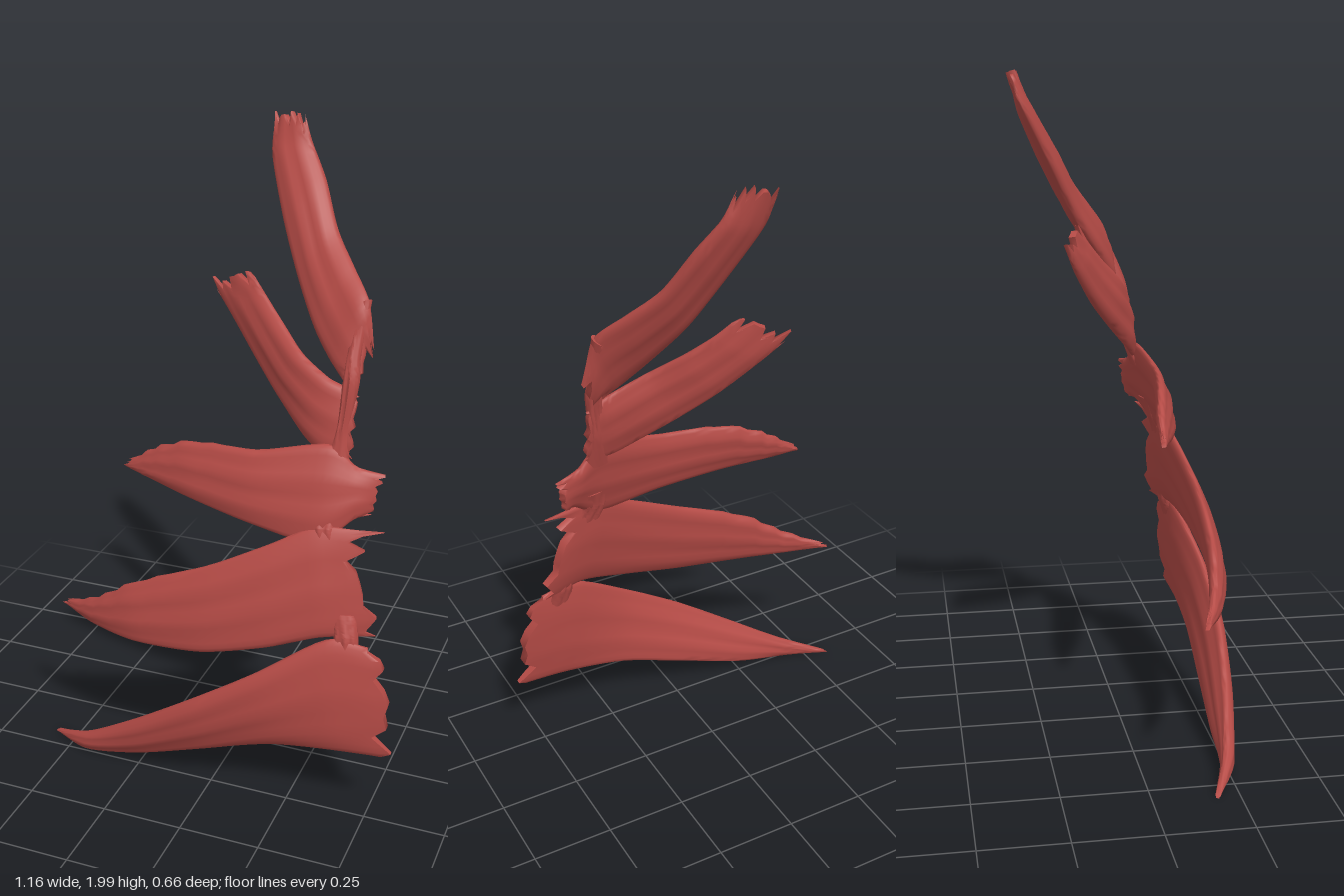
import * as THREE from 'three';
import { toCreasedNormals } from 'three/addons/utils/BufferGeometryUtils.js';

const COLS = 14, STEPS = 36;

// Repeatable uneven value in 0..1
const noise = (n) => {
  const s = Math.sin(n * 12.9898 + 4.1) * 43758.5453;
  return s - Math.floor(s);
};

// Fibrous sheet lofted between an upper and a lower edge.
// Each station: upper x,y,z, lower x,y,z, thickness.
function fibreSheet({ stations, tipJag = 0.03, rootJag = 0.03, steps = 0, bulge = 0.005, seed = 1 }) {
  const line = (k) => new THREE.CatmullRomCurve3(
    stations.map((s) => new THREE.Vector3(s[k], s[k + 1], s[k + 2])), false, 'catmullrom', 0.4);
  const upper = line(0), lower = line(3);
  const last = stations.length - 1, ring = 2 * COLS;
  const pos = [], idx = [];

  for (let i = 0; i <= STEPS; i++) {
    const u = i / STEPS;
    const a = upper.getPoint(u), b = lower.getPoint(u);
    const f = Math.min(u * last, last - 1e-6), k = Math.floor(f);
    const thick = THREE.MathUtils.lerp(stations[k][6], stations[k + 1][6], f - k);
    const tangent = upper.getTangent(u).add(lower.getTangent(u)).normalize();
    // Stepped upper edge where the fibres end one after another
    if (steps && u < 0.45) a.lerp(b, steps * ((u * 11) % 1) * (1 - u / 0.45));
    const across = b.clone().sub(a);
    const normal = across.clone().cross(tangent).normalize();
    const tip = Math.max(0, 1 - u / 0.1), root = Math.max(0, (u - 0.86) / 0.14);

    for (let j = 0; j < ring; j++) {
      const front = j <= COLS, c = front ? j : ring - j;
      const angle = (c / COLS) * Math.PI;
      const v = 0.5 - 0.5 * Math.cos(angle), round = Math.sin(angle);
      const groove = 0.004 * Math.sin(v * 17 + seed * 2 + u * 3) * round * Math.sin(u * Math.PI);
      const off = (front ? 1 : -1) * round * thick / 2 + groove + bulge * round * Math.sin(u * Math.PI);
      const shift = rootJag * root * (noise(c + seed * 31) - 0.45) - tipJag * tip * (noise(c + seed * 57) - 0.5);
      const p = a.clone().addScaledVector(across, v)
        .addScaledVector(normal, off).addScaledVector(tangent, shift);
      pos.push(p.x, p.y, p.z);
    }
  }
  const at = (i, j) => i * ring + (j % ring);
  for (let i = 0; i < STEPS; i++)
    for (let j = 0; j < ring; j++) {
      const p = at(i, j), q = at(i, j + 1), r = at(i + 1, j), s = at(i + 1, j + 1);
      idx.push(p, q, r, q, s, r);
    }
  // Ragged ends
  for (let j = 0; j < COLS; j++)
    for (const i of [0, STEPS]) {
      const p = at(i, j), q = at(i, ring - j), r = at(i, j + 1), s = at(i, ring - j - 1);
      if (i === 0) idx.push(p, q, r, r, q, s);
      else idx.push(p, r, q, r, s, q);
    }
  const geo = new THREE.BufferGeometry();
  geo.setAttribute('position', new THREE.Float32BufferAttribute(pos, 3));
  geo.setIndex(idx);
  return toCreasedNormals(geo, 1.3);
}

const PARTS = {
  firstSlip: { seed: 1, tipJag: 0.07, rootJag: 0.06, stations: [
    [0.10, 1.96, -0.28, -0.01, 1.97, -0.32, 0.02],
    [0.13, 1.90, -0.27, 0.00, 1.87, -0.27, 0.045],
    [0.18, 1.82, -0.23, 0.07, 1.70, -0.18, 0.06],
    [0.24, 1.70, -0.16, 0.14, 1.56, -0.11, 0.06],
    [0.31, 1.62, -0.09, 0.22, 1.44, -0.03, 0.06],
    [0.38, 1.54, -0.02, 0.29, 1.36, 0.02, 0.05],
    [0.40, 1.42, 0.00, 0.34, 1.32, 0.045, 0.025]] },
  secondSlip: { seed: 2, tipJag: 0.08, rootJag: 0.02, stations: [
    [0.00, 1.55, -0.12, -0.14, 1.48, -0.17, 0.02],
    [0.05, 1.50, -0.09, -0.08, 1.42, -0.14, 0.04],
    [0.12, 1.44, -0.04, 0.02, 1.32, -0.08, 0.05],
    [0.20, 1.38, 0.02, 0.12, 1.23, -0.01, 0.05],
    [0.29, 1.33, 0.05, 0.22, 1.15, 0.06, 0.05],
    [0.34, 1.31, 0.05, 0.29, 1.11, 0.09, 0.04],
    [0.37, 1.29, 0.05, 0.37, 1.11, 0.09, 0.025]] },
  thirdSlip: { seed: 3, steps: 0.2, bulge: 0, stations: [
    [-0.32, 0.99, 0.07, -0.35, 0.96, 0.07, 0.015],
    [-0.24, 1.05, 0.075, -0.24, 0.945, 0.10, 0.035],
    [-0.10, 1.10, 0.10, -0.10, 0.925, 0.14, 0.045],
    [0.10, 1.11, 0.125, 0.10, 0.895, 0.175, 0.045],
    [0.31, 1.15, 0.10, 0.30, 0.87, 0.18, 0.045],
    [0.39, 1.09, 0.09, 0.40, 0.94, 0.13, 0.04],
    [0.46, 1.07, 0.08, 0.44, 0.95, 0.10, 0.025]] },
  fourthSlip: { seed: 4, steps: 0.2, bulge: 0, rootJag: 0.12, stations: [
    [-0.51, 0.51, 0.165, -0.53, 0.49, 0.16, 0.015],
    [-0.38, 0.58, 0.21, -0.41, 0.475, 0.215, 0.035],
    [-0.24, 0.67, 0.23, -0.24, 0.473, 0.265, 0.05],
    [-0.02, 0.76, 0.235, -0.02, 0.495, 0.285, 0.05],
    [0.16, 0.85, 0.21, 0.18, 0.545, 0.27, 0.05],
    [0.30, 0.92, 0.175, 0.34, 0.595, 0.235, 0.05],
    [0.43, 0.92, 0.15, 0.47, 0.60, 0.19, 0.03]] },
  // Lower edge tucked behind the upper one
  fifthSlip: { seed: 5, rootJag: 0.07, tipJag: 0.02, bulge: 0.01, stations: [
    [-0.56, 0.02, 0.19, -0.57, 0.01, 0.185, 0.015],
    [-0.42, 0.085, 0.245, -0.44, 0.01, 0.235, 0.04],
    [-0.24, 0.20, 0.285, -0.25, 0.05, 0.24, 0.055],
    [-0.04, 0.335, 0.305, -0.02, 0.13, 0.25, 0.06],
    [0.16, 0.465, 0.29, 0.20, 0.205, 0.26, 0.055],
    [0.36, 0.595, 0.24, 0.40, 0.235, 0.265, 0.055],
    [0.49, 0.59, 0.225, 0.56, 0.245, 0.26, 0.035]] },
  // Narrow bands joining the roots of neighbouring slips
  upperBand: { seed: 6, rootJag: 0, tipJag: 0, stations: [
    [0.385, 1.55, -0.02, 0.345, 1.52, -0.03, 0.03],
    [0.375, 1.40, 0.03, 0.335, 1.38, 0.03, 0.04],
    [0.38, 1.33, 0.05, 0.33, 1.31, 0.05, 0.045],
    [0.365, 1.20, 0.07, 0.32, 1.18, 0.075, 0.045],
    [0.37, 1.08, 0.10, 0.29, 1.08, 0.11, 0.03]] },
  middleBand: { seed: 7, rootJag: 0, tipJag: 0, stations: [
    [0.38, 0.97, 0.125, 0.28, 0.97, 0.145, 0.025],
    [0.36, 0.91, 0.155, 0.28, 0.91, 0.165, 0.04],
    [0.39, 0.84, 0.175, 0.29, 0.84, 0.185, 0.025]] },
  lowerBand: { seed: 8, rootJag: 0, tipJag: 0, stations: [
    [0.44, 0.67, 0.195, 0.37, 0.67, 0.215, 0.025],
    [0.45, 0.60, 0.21, 0.38, 0.60, 0.225, 0.04],
    [0.46, 0.53, 0.23, 0.38, 0.53, 0.245, 0.025]] },
};

export function createModel() {
  const group = new THREE.Group();
  group.name = 'fannedMuscle';
  const muscleRed = new THREE.MeshStandardMaterial({ color: 0xb54b46 });
  muscleRed.name = 'muscleRed';
  for (const [name, part] of Object.entries(PARTS)) {
    const mesh = new THREE.Mesh(fibreSheet(part), muscleRed);
    mesh.name = name;
    group.add(mesh);
  }
  return group;
}
